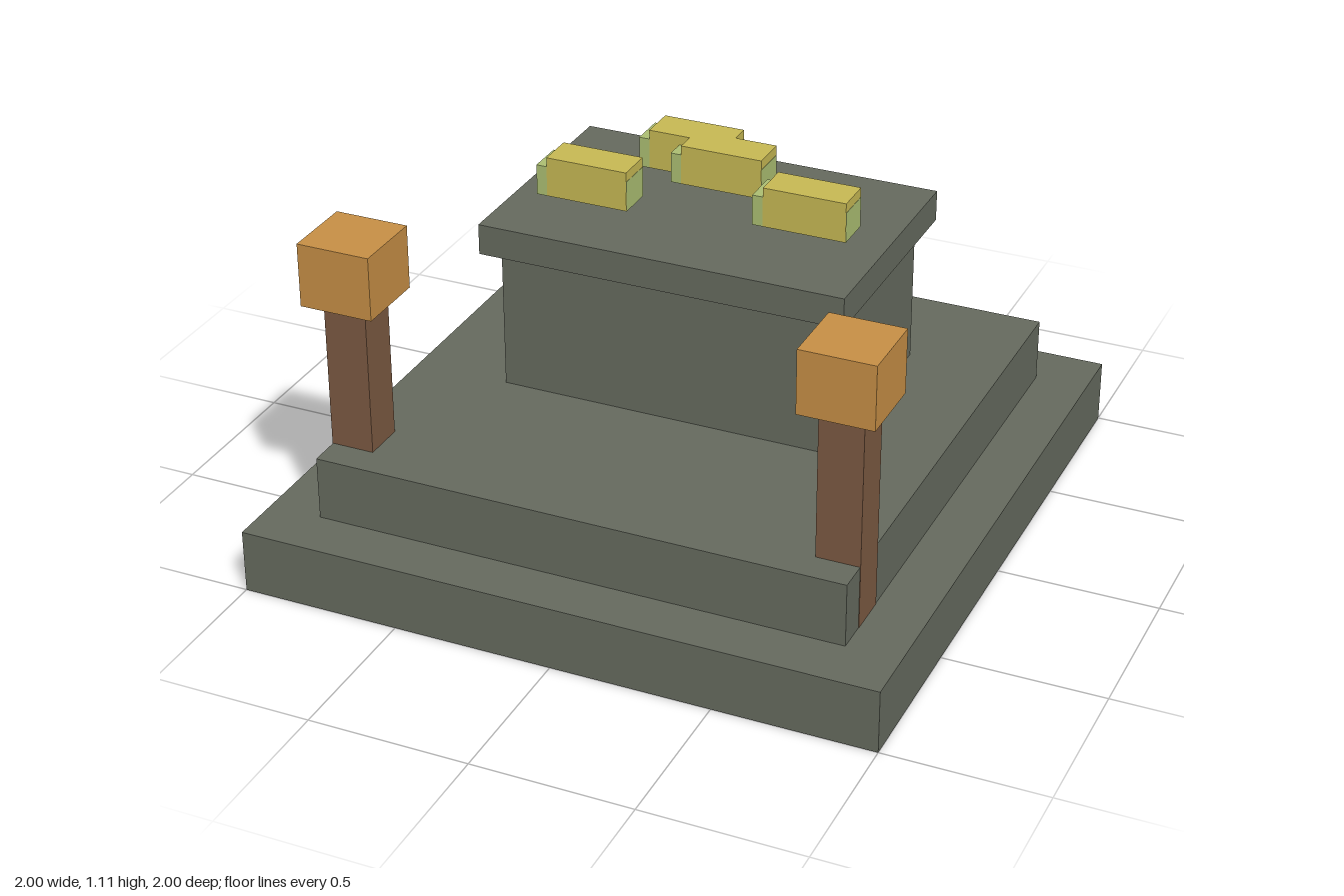
import * as THREE from 'three';

const paint = (name, color) => {
  const m = new THREE.MeshStandardMaterial({ color });
  m.name = name;
  return m;
};

export function createModel() {
  const model = new THREE.Group();
  model.name = 'altar';
  const stone = paint('stone', 0x666b5f);
  const wood = paint('wood', 0x7c5a42);
  const ember = paint('ember orange', 0xc89046);
  const gold = paint('gold', 0xc8ba54);
  const green = paint('pale green', 0xadc073);

  // Box given by its lower and upper limits on each axis
  function box(name, material, [x0, x1], [y0, y1], [z0, z1], parent = model) {
    const mesh = new THREE.Mesh(new THREE.BoxGeometry(x1 - x0, y1 - y0, z1 - z0), material);
    mesh.position.set((x0 + x1) / 2, (y0 + y1) / 2, (z0 + z1) / 2);
    mesh.name = name;
    parent.add(mesh);
    return mesh;
  }

  // Stepped base and altar table
  box('lowerStep', stone, [-1, 1], [0, 0.2], [-1, 1]);
  box('upperStep', stone, [-0.833, 0.833], [0.2, 0.4], [-0.833, 0.833]);
  box('altarBody', stone, [-0.533, 0.533], [0.4, 0.853], [-0.467, 0.2]);
  box('altarTop', stone, [-0.582, 0.582], [0.853, 0.95], [-0.516, 0.25]);

  // Torches, flush with the sides of the upper step
  for (const side of [-1, 1]) {
    const torch = new THREE.Group();
    torch.name = side > 0 ? 'leftTorch' : 'rightTorch';
    torch.position.set(side * 0.767, 0, 0.667);
    box('torchPost', wood, [-0.0675, 0.0675], [0.2, 0.87], [-0.067, 0.067], torch);
    box('torchHead', ember, [-0.115, 0.115], [0.87, 1.07], [-0.115, 0.115], torch);
    model.add(torch);
  }

  // Offerings hovering above the table: a green core with a gold cover
  const offerings = [[-0.334, 0], [-0.136, -0.302], [-0.002, -0.238], [0.334, -0.071]];
  offerings.forEach(([x, z], i) => {
    const offering = new THREE.Group();
    offering.name = `offering${i + 1}`;
    offering.position.set(x, 0, z);
    box('offeringCore', green, [-0.148, 0.148], [0.986, 1.082], [-0.058, 0.058], offering);
    box('offeringCover', gold, [-0.114, 0.147], [0.987, 1.112], [-0.059, 0.059], offering);
    model.add(offering);
  });

  return model;
}
